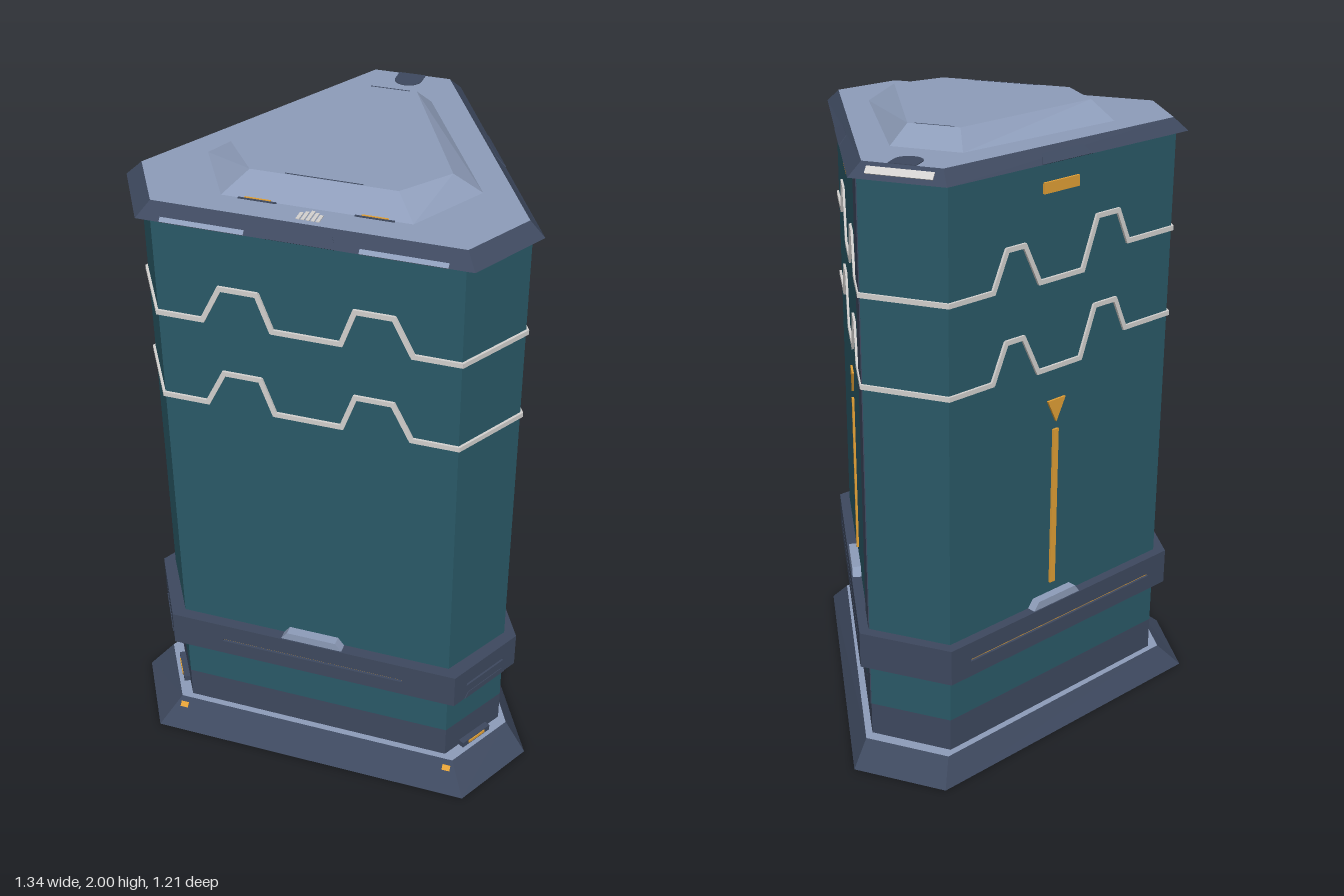
import * as THREE from 'three';

const mat = (name, color) => {
  const m = new THREE.MeshStandardMaterial({ color });
  m.name = name;
  return m;
};

// Truncated triangle: front half width/depth, side corner x/z, back half width/depth
const hex = (a, zf, m, zm, b, zb) => [[-a, zf], [a, zf], [m, zm], [b, zb], [-b, zb], [-m, zm]];

// Flat-faced loft through [y, hex] layers; groups: 0 walls, 1 top, 2 bottom
function loft(name, layers, mats) {
  const p = [];
  const put = ([y, h], i) => p.push(h[i % 6][0], y, h[i % 6][1]);
  for (let k = 0; k < layers.length - 1; k++) {
    const lo = layers[k], hi = layers[k + 1];
    for (let i = 0; i < 6; i++) {
      put(lo, i); put(lo, i + 1); put(hi, i + 1);
      put(lo, i); put(hi, i + 1); put(hi, i);
    }
  }
  const walls = p.length / 3;
  const top = layers[layers.length - 1], bottom = layers[0];
  for (let i = 1; i < 5; i++) { put(top, 0); put(top, i); put(top, i + 1); }
  for (let i = 1; i < 5; i++) { put(bottom, 0); put(bottom, i + 1); put(bottom, i); }
  const g = new THREE.BufferGeometry();
  g.setAttribute('position', new THREE.Float32BufferAttribute(p, 3));
  g.computeVertexNormals();
  g.addGroup(0, walls, 0);
  g.addGroup(walls, 12, 1);
  g.addGroup(walls + 12, 12, 2);
  const mesh = new THREE.Mesh(g, mats);
  mesh.name = name;
  return mesh;
}

// Group placed on wall i: x runs along the wall, y is height, z points outward
function wallFrame(name, h, i) {
  const [ax, az] = h[i], [bx, bz] = h[(i + 1) % 6];
  const g = new THREE.Group();
  g.name = name;
  g.position.set((ax + bx) / 2, 0, (az + bz) / 2);
  g.rotation.y = Math.atan2(az - bz, bx - ax);
  g.userData.half = Math.hypot(bx - ax, bz - az) / 2;
  return g;
}

function box(parent, name, material, size, pos, rot = [0, 0, 0]) {
  const m = new THREE.Mesh(new THREE.BoxGeometry(...size), material);
  m.name = name;
  m.position.set(...pos);
  m.rotation.set(...rot);
  parent.add(m);
}

function plate(parent, name, material, shape, depth = 0.004) {
  const m = new THREE.Mesh(new THREE.ExtrudeGeometry(shape, { depth, bevelEnabled: false }), material);
  m.name = name;
  parent.add(m);
  return m;
}

const poly = pts => new THREE.Shape(pts.map(([x, y]) => new THREE.Vector2(x, y)));

export function createModel() {
  const root = new THREE.Group();
  root.name = 'triangularContainer';
  const teal = mat('teal panel', 0x2a5a68);
  const dark = mat('slate trim', 0x3e495f);
  const light = mat('pale blue metal', 0x8e9dba);
  const silver = mat('silver', 0xd4d2d0);
  const amber = mat('amber', 0xe2a036);

  const bodyHex = hex(0.44, 0.51, 0.565, 0.3, 0.134, -0.505);
  const ringHex = hex(0.47, 0.545, 0.605, 0.305, 0.152, -0.54);
  const grooveHex = hex(0.46, 0.53, 0.59, 0.304, 0.146, -0.525);
  const capLow = hex(0.47, 0.54, 0.6, 0.31, 0.145, -0.54);
  const capHigh = hex(0.44, 0.5, 0.555, 0.3, 0.12, -0.5);

  // Main solids
  root.add(
    loft('base', [[0, hex(0.525, 0.605, 0.67, 0.35, 0.155, -0.605)],
      [0.08, hex(0.47, 0.53, 0.595, 0.315, 0.14, -0.54)]], [dark, light, light]),
    loft('lowerBand', [[0.08, bodyHex], [0.19, bodyHex]], [dark, dark, dark]),
    loft('body', [[0.19, bodyHex], [1.905, bodyHex]], [teal, teal, teal]),
    loft('beltRing', [[0.345, ringHex], [0.397, ringHex], [0.397, grooveHex],
      [0.406, grooveHex], [0.406, ringHex], [0.465, ringHex]], [dark, dark, dark]),
    loft('cap', [[1.905, capLow], [1.945, capHigh]], [dark, light, dark]),
    loft('lidDome', [[1.945, hex(0.27, 0.415, 0.4, 0.19, 0.11, -0.325)],
      [2, hex(0.21, 0.35, 0.32, 0.21, 0.08, -0.265)]], [light, light, light]));

  // Stepped silver lines: [distance along wall, height]
  const frontBumps = [[-0.305, 1.6], [-0.25, 1.71], [-0.14, 1.71], [-0.1, 1.6],
    [0.1, 1.6], [0.14, 1.71], [0.25, 1.71], [0.305, 1.6]];
  const sideBumps = [[0.125, 1.6], [0.083, 1.705], [0.005, 1.705], [-0.045, 1.55], [-0.2, 1.55],
    [-0.255, 1.675], [-0.315, 1.675], [-0.36, 1.56]].map(([z, y]) => [(-0.1025 - z) / 0.8816, y]);
  const mirror = pts => pts.map(([s, y]) => [-s, y]).reverse();
  const lines = [frontBumps, [], sideBumps, [], mirror(sideBumps), []];
  const ends = [[1.6, 1.6], [1.6, 1.6], [1.6, 1.56], [1.56, 1.56], [1.56, 1.6], [1.6, 1.6]];
  for (let i = 0; i < 6; i++) {
    const g = wallFrame('steppedLines', bodyHex, i);
    const e = g.userData.half;
    const pts = [[-e, ends[i][0]], ...lines[i], [e, ends[i][1]]];
    for (const drop of [0, 0.28]) {
      for (let k = 0; k < pts.length - 1; k++) {
        const [x0, y0] = pts[k], [x1, y1] = pts[k + 1];
        box(g, 'lineSegment', silver, [Math.hypot(x1 - x0, y1 - y0) + 0.008, 0.015, 0.009],
          [(x0 + x1) / 2, (y0 + y1) / 2 - drop, 0.003], [0, 0, Math.atan2(y1 - y0, x1 - x0)]);
      }
    }
    root.add(g);
  }

  // Amber markings on both long sides
  for (const i of [2, 4]) {
    const g = wallFrame('sideMarkings', bodyHex, i);
    const c = i === 2 ? 0.031 : -0.031;
    box(g, 'markingBar', amber, [0.021, 0.535, 0.009], [c, 0.795, 0.003]);
    box(g, 'markingDash', amber, [0.14, 0.033, 0.009], [c, 1.828, 0.003]);
    plate(g, 'markingArrow', amber, poly([[c - 0.037, 1.162], [c, 1.087], [c + 0.037, 1.162]]), 0.007);
    root.add(g);
  }

  // Dark strip beside the back corner, with rounded panel ends
  const stripFrame = wallFrame('cornerStrip', bodyHex, 2);
  const strip = new THREE.Shape();
  strip.moveTo(0.29, 0.19);
  strip.lineTo(0.456, 0.19);
  strip.lineTo(0.456, 1.905);
  strip.lineTo(0.29, 1.905);
  strip.quadraticCurveTo(0.335, 1.9, 0.335, 1.86);
  strip.lineTo(0.335, 0.24);
  strip.quadraticCurveTo(0.335, 0.2, 0.29, 0.19);
  plate(stripFrame, 'stripPlate', dark, strip, 0.003);
  root.add(stripFrame);

  // Belt details: amber slots (groove filled beyond them), pale tabs, corner notches
  const slotHalf = [0.3, 0.083, 0.4, 0, 0.4, 0.083];
  for (let i = 0; i < 6; i++) {
    const g = wallFrame('beltDetails', ringHex, i);
    const c = i === 2 ? 0.03 : i === 4 ? -0.03 : 0;
    const e = g.userData.half, half = slotHalf[i];
    for (const s of [-1, 1]) {
      box(g, 'grooveFill', dark, [e - half, 0.009, 0.016], [s * (e + half) / 2, 0.4015, -0.008]);
    }
    if (half) box(g, 'beltLine', amber, [half * 2, 0.009, 0.006], [0, 0.4015, -0.011]);
    if (i % 2 === 0 && half) {
      plate(g, 'beltTab', light, poly([[c - 0.1, 0.465], [c + 0.1, 0.465],
        [c + 0.08, 0.492], [c - 0.08, 0.492]]), 0.03).position.z = -0.034;
    } else if (half) {
      plate(g, 'beltNotch', dark, poly([[-0.09, 0.345], [0.09, 0.345], [0.075, 0.366], [-0.075, 0.366]]), 0.002);
    }
    root.add(g);
  }

  // Base corner latches and marks
  for (const i of [1, 5]) {
    const g = wallFrame('baseLatch', bodyHex, i);
    box(g, 'latchBlock', dark, [0.12, 0.02, 0.02], [0, 0.09, 0.01]);
    box(g, 'latchLight', amber, [0.07, 0.01, 0.004], [0, 0.092, 0.021]);
    root.add(g);
  }
  for (const x of [-0.455, 0.455]) {
    box(root, 'baseMark', amber, [0.026, 0.018, 0.006], [x, 0.06, 0.548], [-0.75, 0, 0]);
  }

  // Cap bevel details: trapezoid notches, pale front strips, silver rear strip
  for (const i of [0, 2, 3, 4]) {
    const g = wallFrame('capDetails', capLow, i);
    const c = i === 2 ? 0.03 : i === 4 ? -0.03 : 0;
    if (i === 3) {
      box(g, 'rearStrip', silver, [0.2, 0.024, 0.006], [0, 1.926, -0.021], [-0.78, 0, 0]);
    } else {
      const notch = plate(g, 'capNotch', dark, poly([[c - 0.1, 0], [c + 0.1, 0],
        [c + 0.08, 0.034], [c - 0.08, 0.034]]), 0.002);
      notch.position.set(0, 1.905, 0);
      notch.rotation.x = -0.76;
    }
    if (i === 0) {
      for (const s of [-1, 1]) {
        box(g, 'frontStrip', light, [0.24, 0.014, 0.006], [s * 0.28, 1.91, -0.005], [-0.78, 0, 0]);
      }
    }
    root.add(g);
  }

  // Lid details: rear finger slot, front emblem bars, dome front lights
  const slot = new THREE.Shape();
  slot.moveTo(-0.042, 0.5);
  slot.lineTo(0.042, 0.5);
  slot.lineTo(0.042, 0.455);
  slot.absarc(0, 0.455, 0.042, 0, Math.PI, true);
  const slotMesh = plate(root, 'fingerSlot', dark, slot, 0.002);
  slotMesh.rotation.x = -Math.PI / 2;
  slotMesh.position.y = 1.945;
  for (let k = -2; k <= 2; k++) {
    box(root, 'lidBar', silver, [0.01, 0.003, 0.052 - Math.abs(k) * 0.008],
      [k * 0.014, 1.946, 0.455 + Math.abs(k) * 0.004]);
  }
  for (const x of [-0.165, 0.165]) {
    box(root, 'lidNotch', dark, [0.11, 0.003, 0.006], [x, 1.946, 0.418]);
    box(root, 'lidLight', amber, [0.075, 0.004, 0.009], [x, 1.947, 0.411]);
  }
  box(root, 'domeGroove', dark, [0.22, 0.003, 0.004], [0, 1.999, 0.345]);
  box(root, 'domeGroove', dark, [0.12, 0.003, 0.004], [0, 1.999, -0.26]);
  return root;
}
